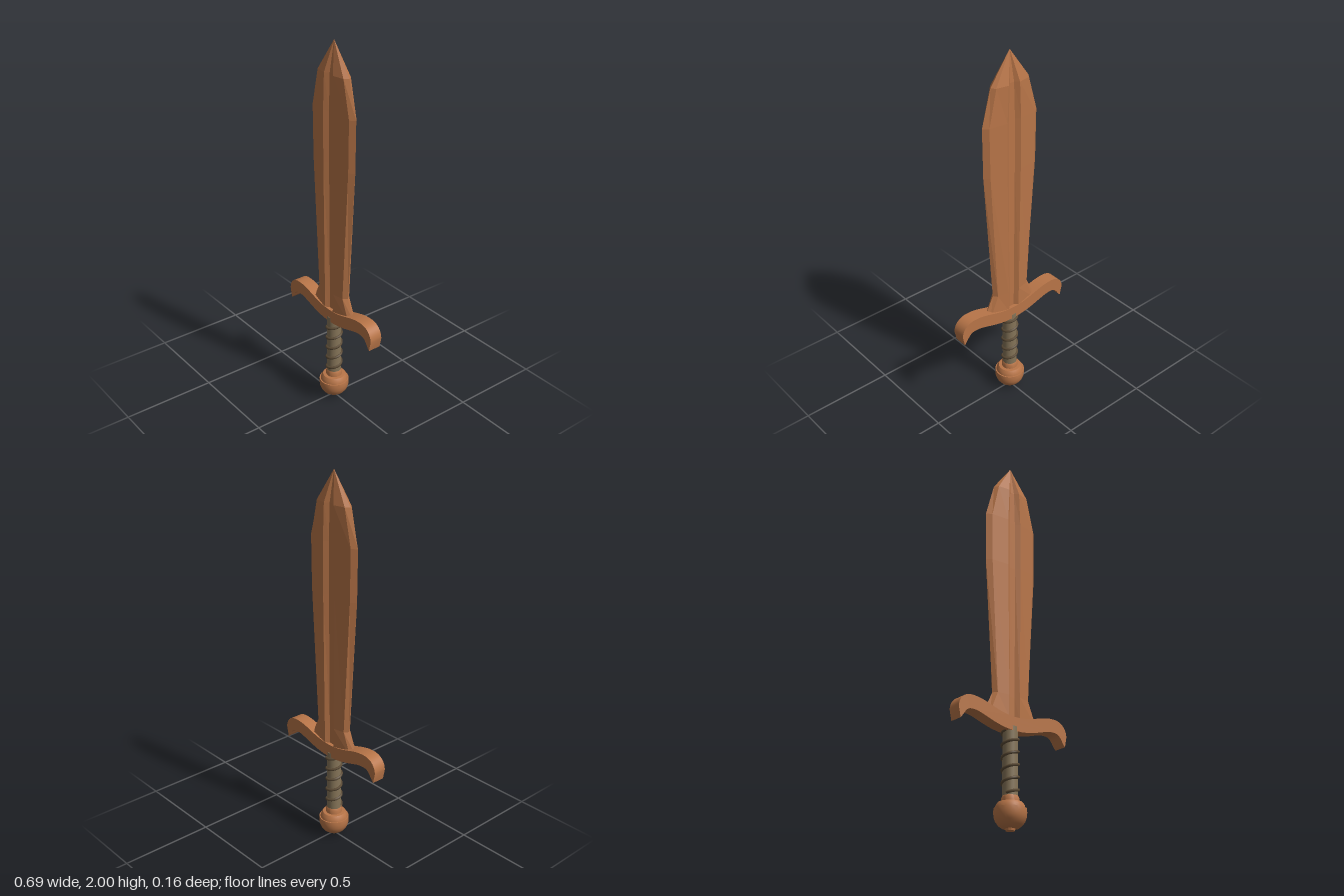
import * as THREE from 'three';
import { toCreasedNormals } from 'three/addons/utils/BufferGeometryUtils.js';

const bronze = new THREE.MeshStandardMaterial({ color: 0xb87548 });
bronze.name = 'bronze';
const bronzeFaceted = bronze;
const gripBrown = new THREE.MeshStandardMaterial({ color: 0x857458 });
gripBrown.name = 'grip brown';
const cordBrown = new THREE.MeshStandardMaterial({ color: 0x5e4d37 });
cordBrown.name = 'cord brown';

function add(group, name, geometry, material) {
  const mesh = new THREE.Mesh(geometry, material);
  mesh.name = name;
  group.add(mesh);
  return mesh;
}

// Leaf blade: bevelled edges and a fuller between two ridges, lofted to a point
function bladeGeometry() {
  // y, half width, bevel width, ridge x, fuller x
  const rows = [
    [0.54, 0.172, 0.025, 0.032, 0.014],
    [0.66, 0.115, 0.017, 0.034, 0.015],
    [1.38, 0.165, 0.027, 0.042, 0.019],
    [1.65, 0.168, 0.027, 0.042, 0.019],
    [1.84, 0.115, 0.017, 0.034, 0.013],
    [2.0, 0, 0, 0, 0],
  ];
  const positions = [];
  const index = [];
  for (const [y, w, bevel, ridge, fuller] of rows) {
    const s = w > 0 ? 1 : 0;
    const half = [[w - bevel, 0.022 * s], [ridge, 0.034 * s], [fuller, 0.016 * s]];
    const back = [...half, ...half.slice().reverse().map(([x, z]) => [-x, z])];
    const ring = [
      [w, 0], ...back.map(([x, z]) => [x, -z]),
      [-w, 0], ...back.slice().reverse(),
    ];
    for (const [x, z] of ring) positions.push(x, y, z);
  }
  const n = 14;
  for (let r = 0; r < rows.length - 1; r++) {
    for (let k = 0; k < n; k++) {
      const a = r * n + k, b = r * n + (k + 1) % n;
      index.push(a, b, a + n);
      if (r < rows.length - 2) index.push(b, b + n, a + n);
    }
  }
  const indexed = new THREE.BufferGeometry();
  indexed.setAttribute('position', new THREE.Float32BufferAttribute(positions, 3));
  indexed.setIndex(index);
  const geometry = indexed.toNonIndexed();
  geometry.computeVertexNormals();
  return geometry;
}

// Wavy crossguard with drooping hooked ends
function guardGeometry() {
  const s = new THREE.Shape();
  s.moveTo(0, 0.552);
  s.bezierCurveTo(0.12, 0.553, 0.17, 0.6, 0.26, 0.6);
  s.bezierCurveTo(0.32, 0.6, 0.344, 0.56, 0.344, 0.525);
  s.lineTo(0.332, 0.47);
  s.bezierCurveTo(0.305, 0.5, 0.3, 0.53, 0.262, 0.53);
  s.bezierCurveTo(0.2, 0.535, 0.13, 0.481, 0, 0.481);
  s.bezierCurveTo(-0.13, 0.481, -0.2, 0.535, -0.262, 0.53);
  s.bezierCurveTo(-0.3, 0.53, -0.305, 0.5, -0.332, 0.47);
  s.lineTo(-0.344, 0.525);
  s.bezierCurveTo(-0.344, 0.56, -0.32, 0.6, -0.26, 0.6);
  s.bezierCurveTo(-0.17, 0.6, -0.12, 0.553, 0, 0.552);
  const depth = 0.07;
  const geometry = new THREE.ExtrudeGeometry(s, { depth, bevelEnabled: false, curveSegments: 8 });
  geometry.translate(0, 0, -depth / 2);
  return toCreasedNormals(geometry, 0.6);
}

function lathe(points) {
  const profile = points.map(([r, y]) => new THREE.Vector2(r, y));
  return toCreasedNormals(new THREE.LatheGeometry(profile, 32), 0.6);
}

// Cord wound in a rising spiral around the grip
class Spiral extends THREE.Curve {
  getPoint(t, target = new THREE.Vector3()) {
    const angle = t * 5 * Math.PI * 2 - 1.2;
    return target.set(Math.sin(angle) * 0.039, 0.175 + t * 0.312, Math.cos(angle) * 0.039);
  }
}

export function createModel() {
  const sword = new THREE.Group();
  sword.name = 'sword';

  add(sword, 'blade', bladeGeometry(), bronzeFaceted);
  add(sword, 'crossguard', guardGeometry(), bronze);

  const grip = add(sword, 'grip', new THREE.CylinderGeometry(0.038, 0.038, 0.345, 24), gripBrown);
  grip.position.y = 0.3325;
  add(sword, 'gripCord', new THREE.TubeGeometry(new Spiral(), 160, 0.008, 6), cordBrown);

  add(sword, 'collar', lathe([
    [0, 0.125], [0.043, 0.125], [0.043, 0.155], [0.038, 0.165], [0, 0.165],
  ]), bronze);

  // Round pommel with a raised lip and a small foot
  add(sword, 'pommel', lathe([
    [0, 0], [0.022, 0], [0.024, 0.01], [0.042, 0.014], [0.058, 0.026], [0.071, 0.044],
    [0.078, 0.064], [0.08, 0.085], [0.079, 0.104], [0.073, 0.104], [0.069, 0.12],
    [0.06, 0.133], [0, 0.137],
  ]), bronze);

  return sword;
}
